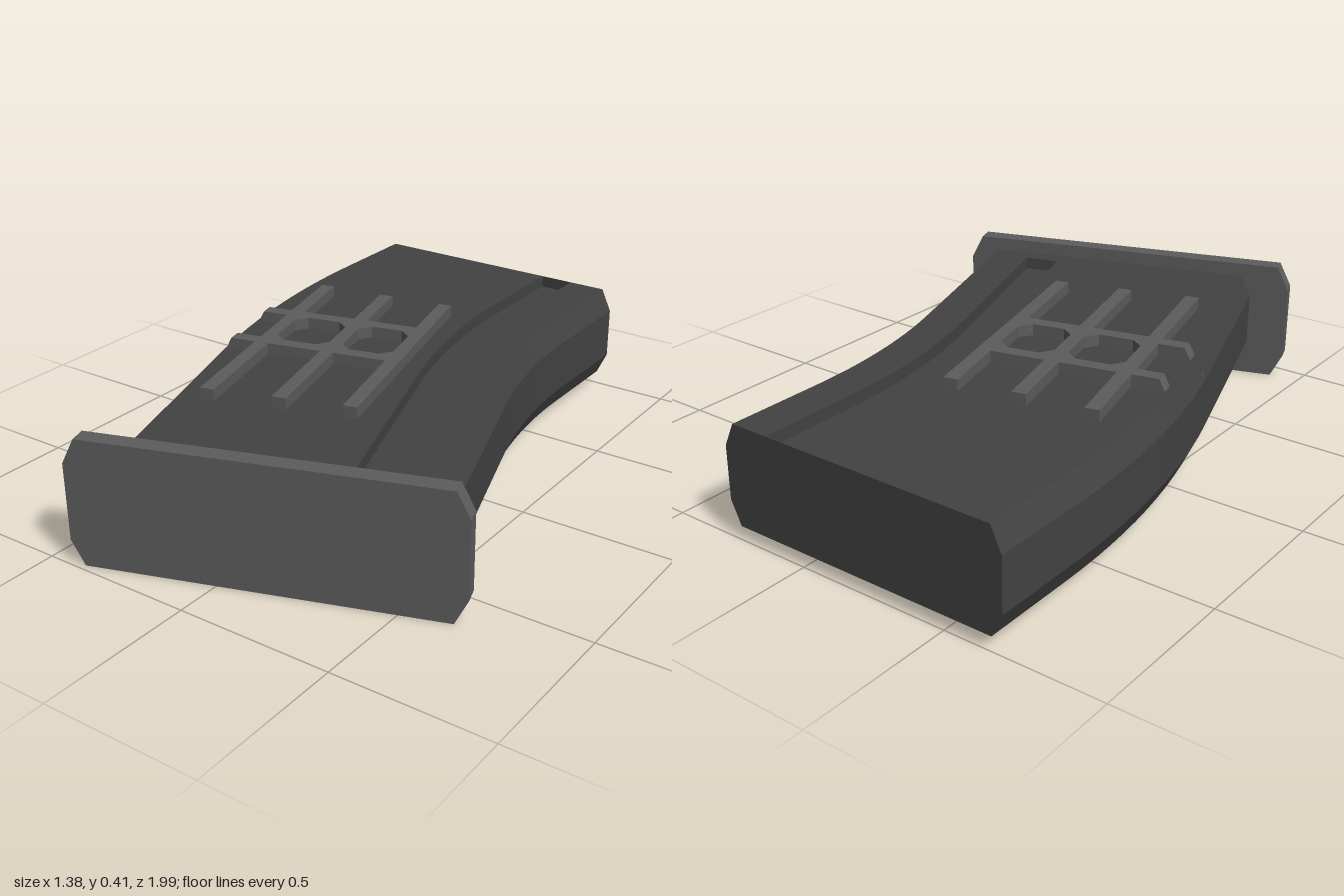
import * as THREE from 'three';
import { toCreasedNormals } from 'three/addons/utils/BufferGeometryUtils.js';

const MID = 0.205;                 // mid height of the body
const ANGLE = 18.5 * Math.PI / 180; // total bend of the body

const bodyMat = new THREE.MeshStandardMaterial({ color: 0x424242, side: THREE.DoubleSide });
bodyMat.name = 'dark polymer';
const trimMat = new THREE.MeshStandardMaterial({ color: 0x5c5c5c });
trimMat.name = 'grey polymer';

function add(parent, name, geometry, material) {
  const mesh = new THREE.Mesh(geometry, material);
  mesh.name = name;
  parent.add(mesh);
  return mesh;
}

function extrude(points, depth) {
  const shape = new THREE.Shape(points.map(([x, y]) => new THREE.Vector2(x, y)));
  return new THREE.ExtrudeGeometry(shape, { depth, bevelEnabled: false });
}

// Octagonal section with a shallow groove of the given depth in both broad faces
function section(groove) {
  const w = 0.483, h = 0.16, cx = 0.035, cy = 0.075, g0 = 0.206, g1 = 0.32;
  const lower = [
    [-w, -h + cy], [-w + cx, -h],
    [g0, -h], [g0, -h + groove], [g1, -h + groove], [g1, -h],
    [w - cx, -h], [w, -h + cy],
  ];
  return lower.concat(lower.map(([x, y]) => [x, -y]).reverse());
}

// Straight, then an arc, then straight again
function pathAt(s) {
  const straight = 0.32, R = 2.34, arc = R * ANGLE;
  const a = Math.min(Math.max(s - straight, 0) / R, ANGLE);
  const rest = Math.max(s - straight - arc, 0);
  return {
    a,
    x: -0.206 + R * (1 - Math.cos(a)) + rest * Math.sin(a),
    z: -1 + Math.min(s, straight) + R * Math.sin(a) + rest * Math.cos(a),
  };
}

function bodyGeometry() {
  const depth = 0.04, end = 1.786, grooveEnd = end - 0.058;
  const stations = [[0, depth]];
  for (let i = 0; i <= 12; i++) stations.push([0.32 + (i / 12) * 2.34 * ANGLE, depth]);
  stations.push([grooveEnd, depth], [grooveEnd, 0], [end, 0]);

  const rings = stations.map(([s, d]) => {
    const p = pathAt(s);
    return section(d).map(([u, y]) =>
      new THREE.Vector3(p.x + u * Math.cos(p.a), MID + y, p.z - u * Math.sin(p.a)));
  });
  const pos = [];
  const tri = (a, b, c) => {
    const n = b.clone().sub(a).cross(c.clone().sub(a));
    if (n.length() > 1e-8) for (const v of [a, b, c]) pos.push(v.x, v.y, v.z);
  };
  for (let k = 0; k + 1 < rings.length; k++) {
    const a = rings[k], b = rings[k + 1];
    for (let i = 0; i < a.length; i++) {
      const j = (i + 1) % a.length;
      tri(a[i], a[j], b[j]);
      tri(a[i], b[j], b[i]);
    }
  }
  // End caps cover the full octagon, closing the groove
  const outline = [0, 1, 6, 7, 8, 9, 14, 15];
  for (let i = 1; i < 7; i++) {
    const [p, q, r] = [outline[0], outline[i], outline[i + 1]];
    const first = rings[0], last = rings[rings.length - 1];
    tri(first[p], first[r], first[q]);
    tri(last[p], last[q], last[r]);
  }
  const geometry = new THREE.BufferGeometry();
  geometry.setAttribute('position', new THREE.Float32BufferAttribute(pos, 3));
  return toCreasedNormals(geometry, 0.3);
}

// Raised grip lattice, in a frame turned to follow the bend
function gripLattice() {
  const grip = new THREE.Group();
  grip.name = 'gripLattice';
  grip.rotation.y = 14 * Math.PI / 180;
  const width = 0.045, top = 0.402, base = 0.345, tall = top - base;
  const bars = [[-0.419, 0.935], [-0.193, 0.898], [0.026, 0.868]];
  const crosses = [-0.227, 0.02];
  const flip = ([x, y]) => [x, 2 * MID - y];

  // Long bars on both broad faces
  for (const side of [1, -1]) {
    const y = MID + side * ((top + base) / 2 - MID);
    for (const [x, length] of bars) {
      add(grip, 'longRib', new THREE.BoxGeometry(width, tall, length), trimMat)
        .position.set(x, y, -0.044);
    }
    // Corner fillets inside the two closed cells
    for (let i = 0; i < 2; i++) {
      for (const [x, sx] of [[bars[i][0], 1], [bars[i + 1][0], -1]]) {
        for (const [z, sz] of [[crosses[0], 1], [crosses[1], -1]]) {
          const cx = x + sx * width / 2, cz = z + sz * width / 2, f = 0.035;
          const g = extrude([[cx, -cz], [cx + sx * f, -cz], [cx, -cz - sz * f]], tall);
          g.rotateX(-Math.PI / 2);
          add(grip, 'ribFillet', g, trimMat).position.y = y - tall / 2;
        }
      }
    }
  }

  // Cross ribs: the rear one wraps the narrow side, the front one only the chamfers
  const tip = -0.575, inner = 0.03;
  const outer = [[inner, top], [tip + 0.05, top], [tip, 0.305]];
  const under = [[tip + 0.05, 0.285], [tip + 0.085, base], [inner, base]];
  const wrap = [...outer, ...outer.map(flip).reverse(),
    ...under.map(flip).reverse(), ...under];
  const hook = [...outer, ...under];
  const place = (points, z) =>
    add(grip, 'crossRib', extrude(points, width), trimMat).position.z = z - width / 2;
  place(wrap, crosses[0]);
  place(hook, crosses[1]);
  place(hook.map(flip), crosses[1]);
  return grip;
}

export function createModel() {
  const model = new THREE.Group();
  model.name = 'curvedMagazine';
  add(model, 'body', bodyGeometry(), bodyMat);
  model.add(gripLattice());

  // Base plate with cut corners
  const w = 0.583, h = 0.2025, cx = 0.04, cy = 0.08, thick = 0.056;
  const plate = extrude([
    [-w, -h + cy], [-w + cx, -h], [w - cx, -h], [w, -h + cy],
    [w, h - cy], [w - cx, h], [-w + cx, h], [-w, h - cy],
  ], thick);
  plate.translate(0, 0, -thick / 2);
  const basePlate = add(model, 'basePlate', plate, trimMat);
  basePlate.position.set(0.125, h, 0.782);
  basePlate.rotation.y = ANGLE;
  return model;
}
